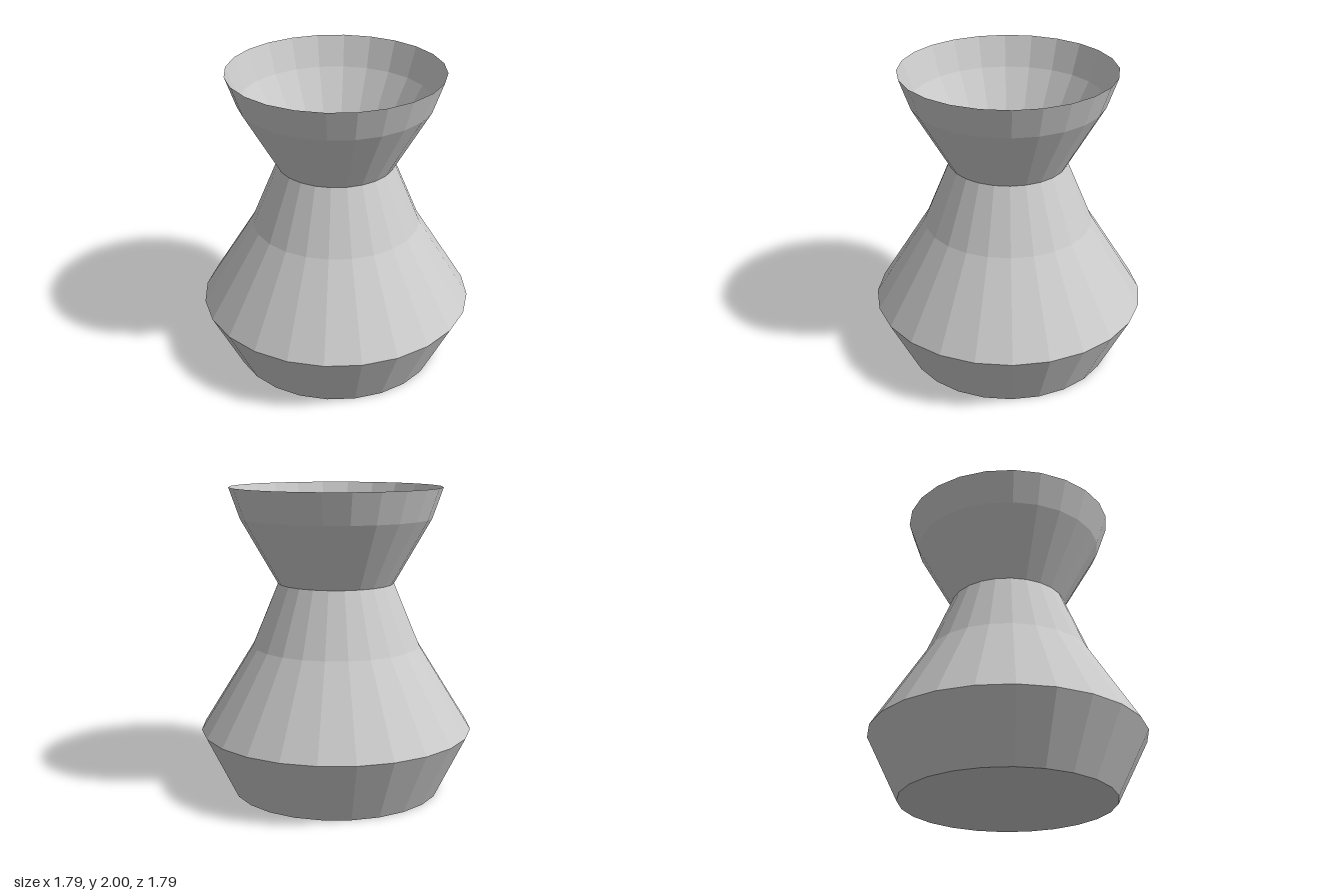
import * as THREE from 'three';

const SIDES = 24;

export function createModel() {
  const group = new THREE.Group();
  group.name = 'vase';

  const clay = new THREE.MeshStandardMaterial({ color: 0xcccccc, flatShading: true, side: THREE.DoubleSide });
  clay.name = 'pale grey';

  // Each band is an open, thin-walled ring of [radius, height] points
  const addBand = (name, profile) => {
    const points = profile.map(([r, y]) => new THREE.Vector2(r, y));
    const mesh = new THREE.Mesh(new THREE.LatheGeometry(points, SIDES), clay);
    mesh.name = name;
    group.add(mesh);
  };

  addBand('foot', [[0.69, 0], [0.895, 0.415]]);
  addBand('body', [[0.895, 0.415], [0.55, 0.97], [0.38, 1.38]]);
  addBand('flaredMouth', [[0.38, 1.38], [0.62, 1.8], [0.69, 2]]);

  // Flat base closing the foot
  const base = new THREE.Mesh(new THREE.CircleGeometry(0.69, SIDES), clay);
  base.name = 'base';
  base.rotation.x = Math.PI / 2;
  group.add(base);

  return group;
}
